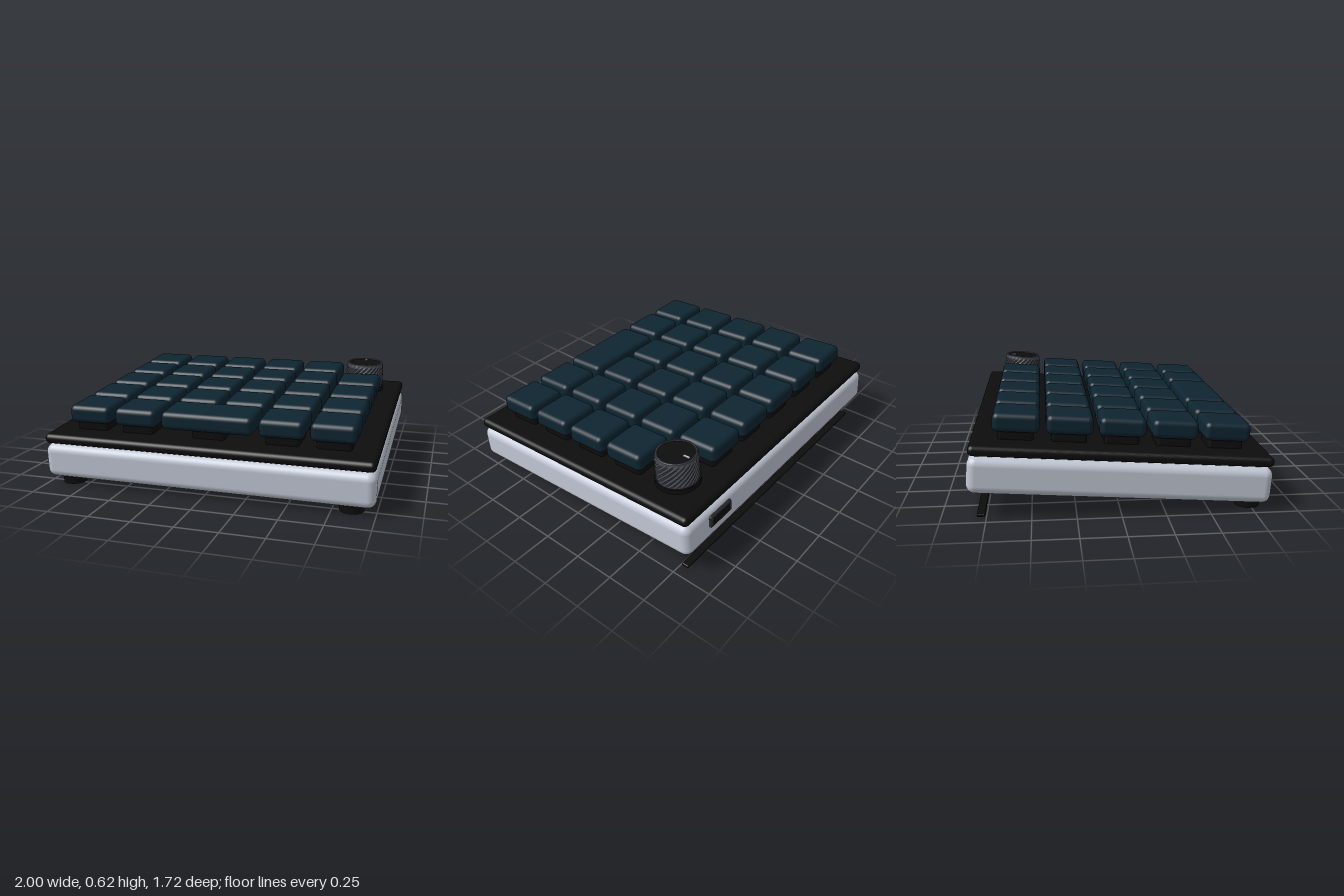
import * as THREE from 'three';
import { RoundedBoxGeometry } from 'three/addons/geometries/RoundedBoxGeometry.js';

function mat(name, color, flatShading = false) {
  const m = new THREE.MeshStandardMaterial({ color, flatShading });
  m.name = name;
  return m;
}

const silver = mat('silver case', 0xc3c9d6);
const black = mat('black', 0x0d0d0e);
const navy = mat('navy keycap', 0x0e2531);
const grey = mat('knob grey', 0x45474f, true);
const steel = mat('port frame', 0x26282d);
const white = mat('indicator', 0xd0d2d6);

function add(parent, name, geometry, material, x = 0, y = 0, z = 0) {
  const mesh = new THREE.Mesh(geometry, material);
  mesh.name = name;
  mesh.position.set(x, y, z);
  parent.add(mesh);
  return mesh;
}

const rounded = (w, h, d, r, s = 4) => new RoundedBoxGeometry(w, h, d, s, r);

// Cylinder wall with staggered raised studs
function knurledWall(radius, height, around, rows) {
  const g = new THREE.CylinderGeometry(radius, radius, height, around, rows, true);
  const p = g.attributes.position;
  for (let i = 0; i < p.count; i++) {
    const row = Math.floor(i / (around + 1));
    const col = (i % (around + 1)) % around;
    const edge = row === 0 || row === rows;
    const k = !edge && (row + col) % 2 === 0 ? 1 + 0.006 / radius : 1;
    p.setX(i, p.getX(i) * k);
    p.setZ(i, p.getZ(i) * k);
  }
  g.computeVertexNormals();
  return g;
}

function makeKnob() {
  const knob = new THREE.Group();
  knob.name = 'knob';
  add(knob, 'knobBase', new THREE.CylinderGeometry(0.132, 0.132, 0.03, 48), black, 0, 0.012, 0);
  add(knob, 'knobWall', knurledWall(0.122, 0.155, 48, 10), grey, 0, 0.105, 0);
  // Lip profile: chamfered ring around the recessed cap
  const lip = [[0.122, 0.182], [0.12, 0.19], [0.115, 0.194], [0.108, 0.194], [0.106, 0.186]]
    .map(([x, y]) => new THREE.Vector2(x, y)).reverse();
  const rim = add(knob, 'knobRim', new THREE.LatheGeometry(lip.reverse(), 48), grey);
  rim.renderOrder = 0;
  add(knob, 'knobCap', new THREE.CylinderGeometry(0.108, 0.108, 0.02, 48), black, 0, 0.178, 0);
  add(knob, 'knobIndicator', new THREE.BoxGeometry(0.014, 0.004, 0.042), white, 0, 0.19, -0.072);
  add(knob, 'knobUnderside', new THREE.CylinderGeometry(0.121, 0.121, 0.01, 48), grey, 0, 0.033, 0);
  return knob;
}

export function createModel() {
  const model = new THREE.Group();
  model.name = 'keypad';

  // Everything but the stand rests at a slight slope, front edge low
  const body = new THREE.Group();
  body.name = 'body';
  body.position.y = 0.205;
  body.rotation.x = 0.07;
  model.add(body);

  add(body, 'case', rounded(2, 0.21, 1.7, 0.05, 5), silver);
  add(body, 'topPlate', rounded(1.99, 0.06, 1.69, 0.028), black, 0, 0.14, 0);

  // Keys: five rows of six, knob in the back corner, one double-width key in front
  const pitch = 0.297;
  const single = rounded(0.264, 0.108, 0.264, 0.032);
  const double = rounded(0.264 + pitch, 0.108, 0.264, 0.032);
  const switchGeo = rounded(0.2, 0.08, 0.2, 0.02, 2);
  for (let row = 0; row < 5; row++) {
    for (let col = 0; col < 6; col++) {
      const x = (col - 2.5) * pitch;
      const z = (row - 2) * pitch;
      if (row === 0 && col === 5) {
        const knob = makeKnob();
        knob.position.set(x, 0.17, z);
        body.add(knob);
        continue;
      }
      if (row === 4 && col === 3) continue;
      const wide = row === 4 && col === 2;
      const kx = wide ? 0 : x;
      add(body, wide ? 'wideKeycap' : 'keycap', wide ? double : single, navy, kx, 0.27, z);
      add(body, 'switch', switchGeo, black, kx, 0.195, z);
    }
  }

  // Rear cable port
  const port = new THREE.Group();
  port.name = 'port';
  port.position.set(0.705, 0.025, -0.85);
  body.add(port);
  add(port, 'portFrame', rounded(0.195, 0.078, 0.03, 0.012, 2), steel);
  add(port, 'portSlot', new THREE.BoxGeometry(0.15, 0.042, 0.006), black, 0, 0, -0.014);

  // Rear pads sit flush against the sloping underside
  const pad = new THREE.CylinderGeometry(0.065, 0.065, 0.03, 32);
  for (const side of [-1, 1]) {
    add(body, 'rearPad', pad, black, side * 0.655, -0.112, -0.68);
  }

  // Front feet stand level on the ground
  const foot = new THREE.CylinderGeometry(0.072, 0.07, 0.045, 32);
  for (const side of [-1, 1]) {
    add(model, 'frontFoot', foot, black, side * 0.86, 0.0225, 0.74);
  }

  // Rear support bar on the ground
  add(model, 'supportBar', rounded(1.865, 0.018, 0.046, 0.006, 2), black, 0, 0.012, -0.78);

  return model;
}
